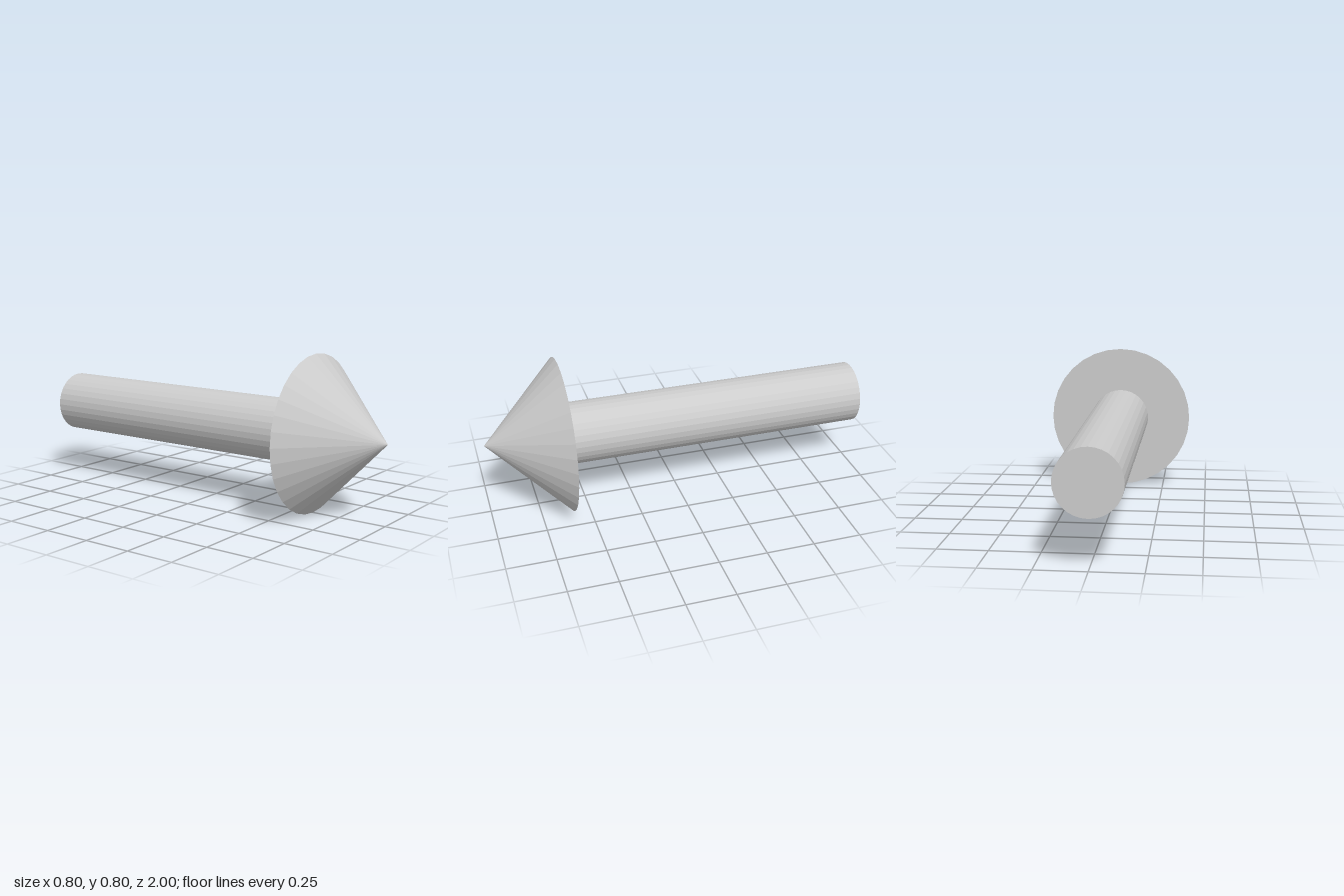
import * as THREE from 'three';

const SIDES = 32;

export function createModel() {
  const arrow = new THREE.Group();
  arrow.name = 'arrow';
  const material = new THREE.MeshStandardMaterial({ color: 0xcccccc, flatShading: true });

  // Lays an upright part along +z, spanning z0 to z1 on the arrow's axis
  const addPart = (name, geometry, z0, z1) => {
    geometry.rotateX(Math.PI / 2);
    const mesh = new THREE.Mesh(geometry, material);
    mesh.name = name;
    mesh.position.set(0, 0.4, (z0 + z1) / 2);
    arrow.add(mesh);
  };

  // Pointed head, facing the front
  addPart('head', new THREE.ConeGeometry(0.4, 0.4, SIDES), 0.6, 1);

  // Straight shaft behind the head
  addPart('shaft', new THREE.CylinderGeometry(0.16, 0.16, 1.6, SIDES), -1, 0.6);

  return arrow;
}
